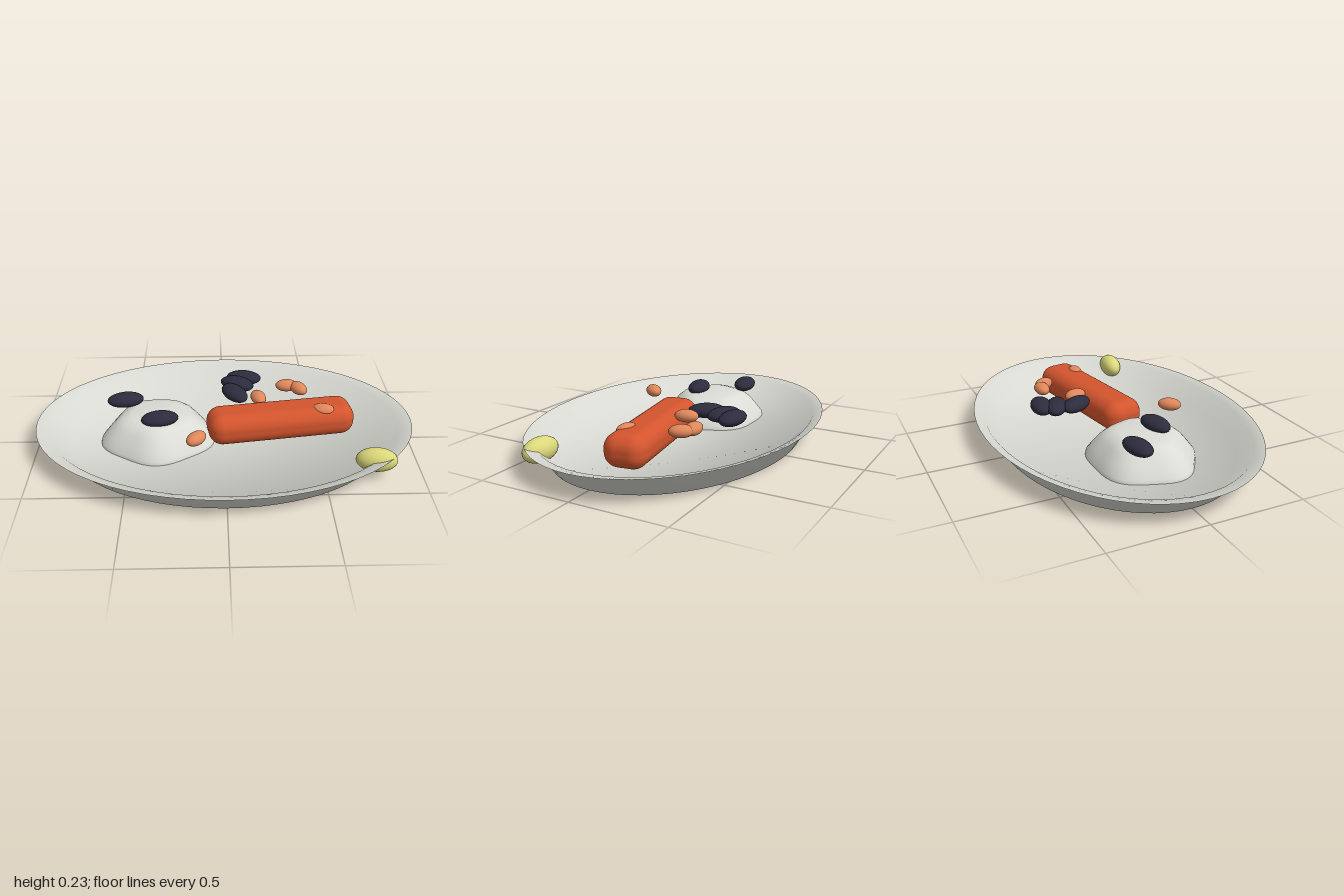
import * as THREE from 'three';
import { RoundedBoxGeometry } from 'three/addons/geometries/RoundedBoxGeometry.js';

const material = (name, color) => {
  const m = new THREE.MeshStandardMaterial({ color });
  m.name = name;
  return m;
};

const profile = (points) => points.map(([r, y]) => new THREE.Vector2(r, y));

// Oval shell from [radius, height, tilt of the normal off vertical]; up is 1 or -1
function ovalShell(points, up) {
  const geometry = new THREE.LatheGeometry(profile(points), 64);
  const normal = geometry.attributes.normal;
  for (let i = 0; i < normal.count; i++) {
    const tilt = THREE.MathUtils.degToRad(points[i % points.length][2]);
    const turn = Math.floor(i / points.length) / 64 * Math.PI * 2;
    const side = -up * Math.sin(tilt);
    normal.setXYZ(i, side * Math.sin(turn), up * Math.cos(tilt), side * Math.cos(turn));
  }
  return geometry.scale(1, 1, 0.7);
}

export function createModel() {
  const group = new THREE.Group();
  const china = material('china', 0xd8d8d2);
  const white = material('rice white', 0xdcdcd6);
  const red = material('fillet red', 0xd4552e);
  const dark = material('dark olive', 0x2c2c3e);
  const orange = material('orange', 0xe0875a);
  const yellow = material('lemon yellow', 0xdcd87a);

  const add = (name, geometry, mat, x, y, z, turn = 0) => {
    const mesh = new THREE.Mesh(geometry, mat);
    mesh.name = name;
    mesh.position.set(x, y, z);
    mesh.rotation.y = turn;
    group.add(mesh);
  };

  // Oval plate: underside and upper face meeting at the flared rim
  add('plateUnderside', ovalShell([
    [0, 0, 0], [0.85, 0, 28], [0.935, 0.108, 32], [1, 0.13, 22]], -1), china, 0, 0, 0);
  add('plateTop', ovalShell([
    [1, 0.13, 14], [0.93, 0.115, 26], [0.83, 0.03, 28], [0, 0.03, 0]], 1), china, 0, 0, 0);

  // Rice mound: flat-topped dome with five soft corners
  const mound = new THREE.LatheGeometry(profile([
    [0.302, 0.03], [0.298, 0.05], [0.265, 0.09], [0.225, 0.135],
    [0.185, 0.165], [0.135, 0.178], [0, 0.18]]), 60);
  const pos = mound.attributes.position;
  for (let i = 0; i < pos.count; i++) {
    const x = pos.getX(i), z = pos.getZ(i);
    const corner = 0.985 + 0.04 * Math.cos(5 * (Math.atan2(z, x) - Math.PI / 2));
    pos.setX(i, x * corner * 1.0);
    pos.setZ(i, z * corner * 0.91);
  }
  mound.computeVertexNormals();
  // Match the normals across the lathe seam
  const nor = mound.attributes.normal, rows = 7, last = 60 * rows;
  for (let j = 0; j < rows; j++) {
    const n = new THREE.Vector3().fromBufferAttribute(nor, j)
      .add(new THREE.Vector3().fromBufferAttribute(nor, last + j)).normalize();
    nor.setXYZ(j, n.x, n.y, n.z);
    nor.setXYZ(last + j, n.x, n.y, n.z);
  }
  add('riceMound', mound, white, -0.357, 0, 0);

  // Fillet
  add('fillet', new RoundedBoxGeometry(0.79, 0.17, 0.22, 5, 0.075), red, 0.3, 0.125, 0, 0.15);

  // Scattered ellipsoids: [x, z, turn in degrees]
  const ellipsoid = (a, b, c) => new THREE.SphereGeometry(1, 28, 18).scale(a, b, c);
  const scatter = (name, geometry, mat, y, spots) => spots.forEach(([x, z, deg]) =>
    add(name, geometry, mat, x, y, z, THREE.MathUtils.degToRad(deg)));

  scatter('olive', ellipsoid(0.098, 0.038, 0.056), dark, 0.193, [
    [-0.535, -0.116, 10], [-0.34, 0.084, 10],
    [0.06, -0.176, -58], [0.078, -0.282, -25], [0.118, -0.352, -8],
  ]);
  scatter('orangePiece', ellipsoid(0.062, 0.033, 0.04), orange, 0.191, [
    [0.355, -0.26, 0], [0.418, -0.226, -58], [0.188, -0.128, -75],
    [0.525, 0.011, -8], [-0.148, 0.274, 50],
  ]);

  // Lemon piece poking through the plate wall
  add('lemonPiece', ellipsoid(0.105, 0.063, 0.058), yellow, 0.755, 0.102, 0.352, -0.12);
  return group;
}
